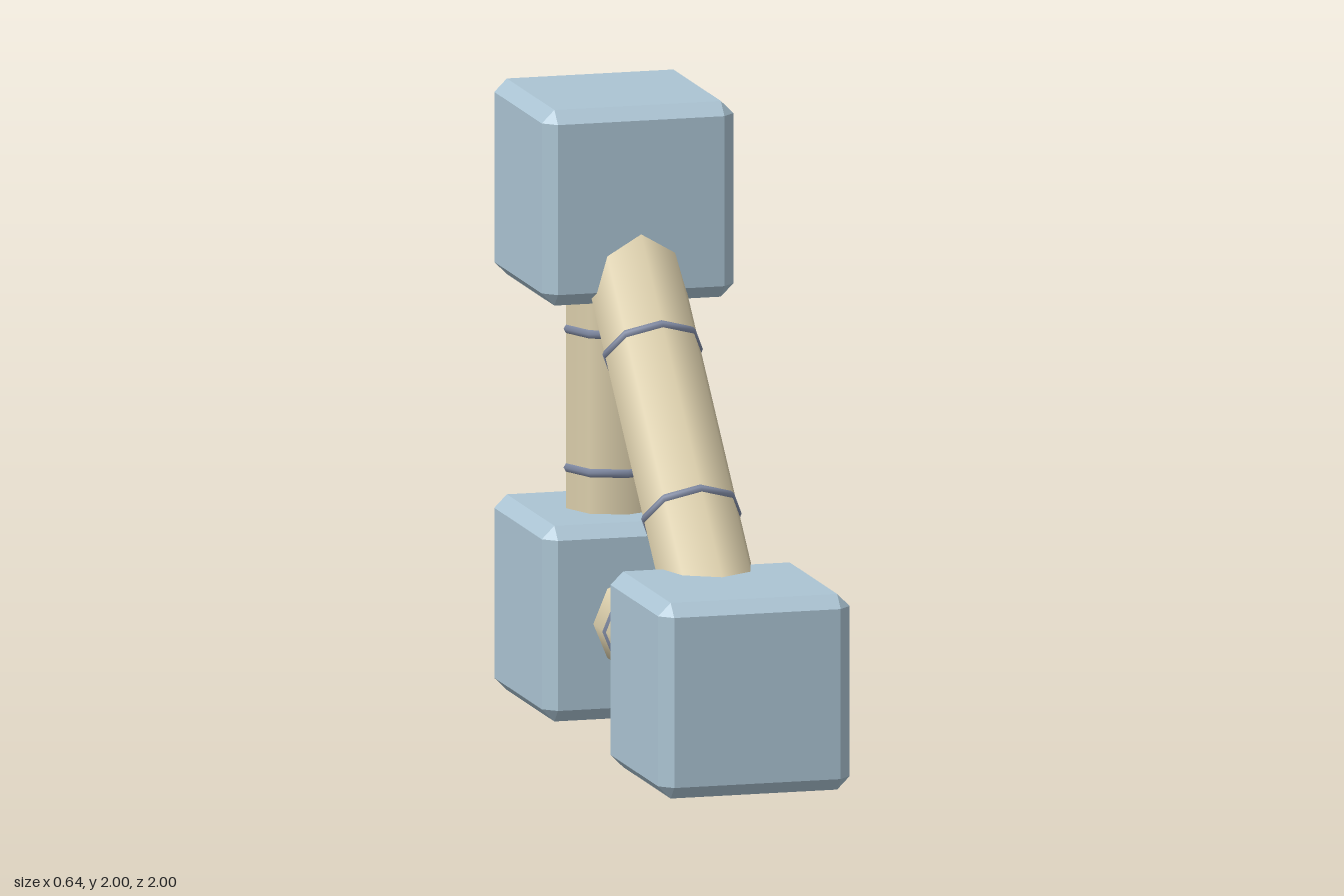
import * as THREE from 'three';
import { ConvexGeometry } from 'three/addons/geometries/ConvexGeometry.js';

const paint = (name, color) => {
  const m = new THREE.MeshStandardMaterial({ color });
  m.name = name;
  return m;
};

// Cube with chamfered edges and corners
function chamferedCube(size, bevel) {
  const h = size / 2, k = h - bevel, points = [];
  for (const x of [-1, 1]) for (const y of [-1, 1]) for (const z of [-1, 1]) {
    points.push(
      new THREE.Vector3(x * h, y * k, z * k),
      new THREE.Vector3(x * k, y * h, z * k),
      new THREE.Vector3(x * k, y * k, z * h));
  }
  return new ConvexGeometry(points);
}

export function createModel() {
  const model = new THREE.Group();
  model.name = 'cubeTriangle';
  const blue = paint('paleBlue', 0xabc4d3);
  const tan = paint('sand', 0xdccfac);
  const slate = paint('slate', 0x7f89a2);

  const add = (parent, geometry, material, name) => {
    const mesh = new THREE.Mesh(geometry, material);
    mesh.name = name;
    parent.add(mesh);
    return mesh;
  };

  // Three cubes at the corners of a right triangle
  const centers = {
    frontCube: new THREE.Vector3(0, 0.32, 0.68),
    backCube: new THREE.Vector3(0, 0.32, -0.68),
    topCube: new THREE.Vector3(0, 1.68, -0.68),
  };
  const cube = chamferedCube(0.64, 0.042);
  for (const [name, p] of Object.entries(centers)) {
    add(model, cube, blue, name).position.copy(p);
  }

  // Eight-sided connecting rods, each with two rings at its thirds
  const ring = new THREE.TorusGeometry(0.15, 0.018, 6, 8).rotateX(Math.PI / 2);
  const rod = (name, a, b) => {
    const group = new THREE.Group();
    group.name = name;
    const span = b.clone().sub(a), length = span.length();
    add(group, new THREE.CylinderGeometry(0.16, 0.16, length, 8), tan, 'tube');
    for (const s of [-1, 1]) add(group, ring, slate, 'ring').position.y = s * length / 6;
    group.position.copy(a).add(b).multiplyScalar(0.5);
    group.quaternion.setFromUnitVectors(new THREE.Vector3(0, 1, 0), span.normalize());
    model.add(group);
  };
  rod('bottomRod', centers.backCube, centers.frontCube);
  rod('uprightRod', centers.backCube, centers.topCube);
  rod('diagonalRod', centers.frontCube, centers.topCube);

  return model;
}
